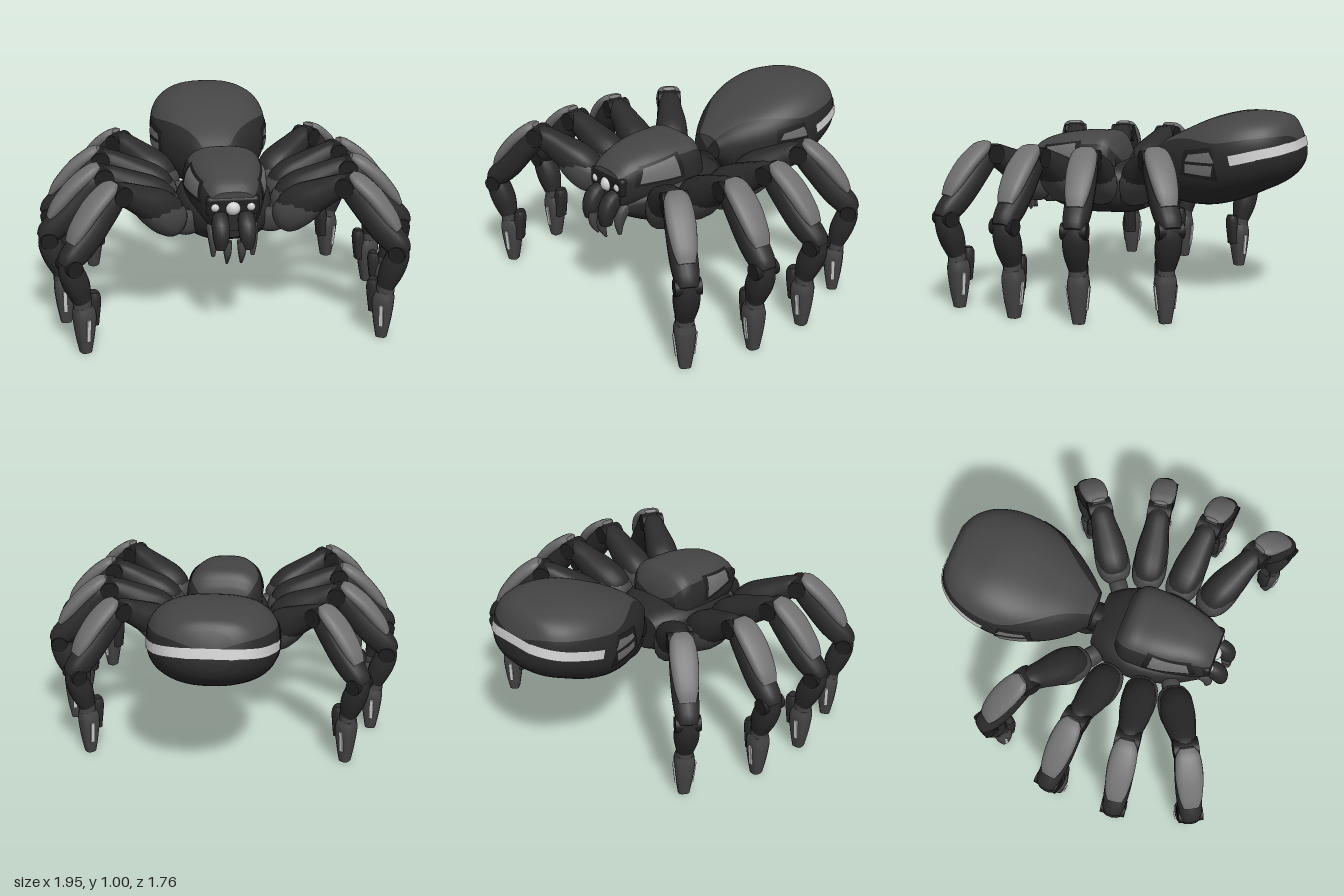
import * as THREE from 'three';
import { toCreasedNormals } from 'three/addons/utils/BufferGeometryUtils.js';
import { RoundedBoxGeometry } from 'three/addons/geometries/RoundedBoxGeometry.js';

const mat = (name, color) => {
  const m = new THREE.MeshStandardMaterial({ color, side: THREE.DoubleSide });
  m.name = name;
  return m;
};
const black = mat('black shell', 0x2a2a2a);
const dark = mat('dark joint', 0x1e1e1e);
const charcoal = mat('charcoal shell', 0x454545);
const grey = mat('grey plate', 0x707070);
const silver = mat('silver trim', 0xd0d0d0);

function add(parent, name, geometry, material, x = 0, y = 0, z = 0) {
  const m = new THREE.Mesh(geometry, material);
  m.name = name;
  m.position.set(x, y, z);
  parent.add(m);
  return m;
}

// signed power, squares off an ellipse
const sp = (v, p) => Math.sign(v) * Math.pow(Math.abs(v), p);

// skin over rings of [x, y, z]; ends are closed with fans to the given centres
function skin(rings, centres, crease = 0.7) {
  const n = rings[0].length, pos = rings.flat(2), idx = [];
  for (let i = 0; i < rings.length - 1; i++)
    for (let j = 0; j < n - 1; j++) {
      const a = i * n + j, b = a + n;
      idx.push(a, a + 1, b, a + 1, b + 1, b);
    }
  if (centres) {
    const c = rings.length * n, last = c - n;
    pos.push(...centres[0], ...centres[1]);
    for (let j = 0; j < n - 1; j++) idx.push(c, j + 1, j, c + 1, last + j, last + j + 1);
  }
  const g = new THREE.BufferGeometry();
  g.setAttribute('position', new THREE.Float32BufferAttribute(pos, 3));
  g.setIndex(idx);
  return toCreasedNormals(g, crease);
}

const interpolate = (times, rows) => {
  const it = new THREE.CubicInterpolant(times, rows.flat(), rows[0].length, []);
  return t => Array.from(it.evaluate(t));
};

// limb along a path in the xy plane, rows are [x, y, half thickness, half width]
function limb(rows, power = 0.8, sides = 16) {
  const at = interpolate(rows.map((_, i) => i), rows);
  const steps = (rows.length - 1) * 3, rings = [], ends = [];
  for (let i = 0; i <= steps; i++) {
    const t = i / 3, [x, y, ht, hw] = at(t);
    const a = at(Math.max(0, t - 0.2)), b = at(Math.min(rows.length - 1, t + 0.2));
    const l = Math.hypot(b[0] - a[0], b[1] - a[1]);
    const nx = -(b[1] - a[1]) / l, ny = (b[0] - a[0]) / l;
    rings.push(Array.from({ length: sides + 1 }, (_, j) => {
      const q = j / sides * Math.PI * 2, c = sp(Math.cos(q), power) * ht;
      return [x + nx * c, y + ny * c, sp(Math.sin(q), power) * hw];
    }));
    if (i === 0 || i === steps) ends.push([x, y, 0]);
  }
  return skin(rings, ends);
}

// body shell along z, rows are [z, top, middle, bottom, half width, lean]
function shell(rows, pUp, pLow) {
  const at = interpolate(rows.map(r => r[0]), rows.map(r => r.slice(1)));
  const zs = rows.flatMap((r, i) => i
    ? [1, 2, 3, 4].map(k => rows[i - 1][0] + (r[0] - rows[i - 1][0]) * k / 4) : [r[0]]);
  // slice of the shell between two angles in degrees, each a function of z
  const part = (from, to, count) => skin(zs.map(z => {
    const [top, mid, bot, w, lean] = at(z);
    return Array.from({ length: count + 1 }, (_, j) => {
      const q = (from(z) + (to(z) - from(z)) * j / count) * Math.PI / 180, s = Math.sin(q);
      const p = s >= 0 ? pUp : pLow;
      const h = sp(s, p) * (s >= 0 ? top - mid : mid - bot);
      return [w * sp(Math.cos(q), p), mid + h, z + h * lean];
    });
  }), [zs[0], zs[zs.length - 1]].map(z => [0, at(z)[1], z]), 0.6);
  const sideX = (z, y) => {
    const [top, mid, bot, w] = at(z), up = y >= mid, p = up ? pUp : pLow;
    const s = Math.min(1, up ? (y - mid) / (top - mid) : (mid - y) / (mid - bot));
    return w * Math.pow(Math.sqrt(Math.max(0, 1 - Math.pow(s, 2 / p))), p);
  };
  // thin painted panel on one side, corners are [z, y]
  const panel = (side, [a, b, c, d], lift) => {
    const mix = (p, q, t) => [p[0] + (q[0] - p[0]) * t, p[1] + (q[1] - p[1]) * t];
    const N = 12;
    return skin(Array.from({ length: N + 1 }, (_, i) => Array.from({ length: N + 1 }, (_, j) => {
      const [z, y] = mix(mix(a, d, i / N), mix(b, c, i / N), j / N);
      return [side * (sideX(z, y) + lift), y, z];
    })), null);
  };
  return { at, part, panel, zs };
}

function makeLeg() {
  const leg = new THREE.Group();
  add(leg, 'coxa', limb([[-0.05, 0.55, 0.06, 0.045], [0.03, 0.555, 0.065, 0.05], [0.09, 0.57, 0.05, 0.045]]), charcoal);
  add(leg, 'femurBase', limb([[0.05, 0.56, 0.04, 0.04], [0.085, 0.578, 0.082, 0.078], [0.14, 0.61, 0.096, 0.094],
    [0.22, 0.665, 0.085, 0.088], [0.30, 0.715, 0.05, 0.055]]), charcoal);
  add(leg, 'femur', limb([[0.075, 0.595, 0.04, 0.04], [0.115, 0.622, 0.082, 0.076], [0.18, 0.665, 0.094, 0.09],
    [0.25, 0.705, 0.084, 0.086], [0.33, 0.75, 0.068, 0.07], [0.40, 0.785, 0.055, 0.06], [0.44, 0.80, 0.03, 0.04]]), black);
  add(leg, 'tibia', limb([[0.43, 0.835, 0.02, 0.035], [0.452, 0.78, 0.066, 0.062], [0.53, 0.675, 0.066, 0.068],
    [0.62, 0.575, 0.068, 0.068], [0.69, 0.51, 0.06, 0.06], [0.72, 0.475, 0.042, 0.048]]), black);
  add(leg, 'tibiaPlate', limb([[0.437, 0.848, 0.01, 0.036], [0.475, 0.82, 0.03, 0.064], [0.565, 0.745, 0.034, 0.072],
    [0.65, 0.645, 0.03, 0.06], [0.69, 0.59, 0.014, 0.042]], 0.75), grey);
  // hinge discs at the knee and elbow
  for (const [n, x, y, r, w] of [['kneeHinge', 0.42, 0.785, 0.05, 0.13], ['elbowHinge', 0.70, 0.475, 0.042, 0.13]])
    add(leg, n, new THREE.CylinderGeometry(r, r, w, 18).rotateX(Math.PI / 2), dark, x, y);
  add(leg, 'metatarsus', limb([[0.70, 0.50, 0.045, 0.045], [0.69, 0.44, 0.06, 0.062],
    [0.663, 0.36, 0.062, 0.062], [0.64, 0.28, 0.045, 0.046]]), black);
  add(leg, 'ankle', new THREE.CylinderGeometry(0.046, 0.046, 0.05, 14), charcoal, 0.638, 0.265);
  add(leg, 'foot', limb([[0.635, 0.25, 0.045, 0.045], [0.63, 0.2, 0.054, 0.054],
    [0.63, 0.1, 0.045, 0.045], [0.63, 0, 0.028, 0.03]], 0.65), charcoal);
  add(leg, 'heel', limb([[0.572, 0.31, 0.02, 0.028], [0.572, 0.27, 0.03, 0.035], [0.585, 0.14, 0.026, 0.034]], 0.65), black);
  for (const s of [-1, 1]) {
    const strip = add(leg, 'footStrip', new THREE.BoxGeometry(0.02, 0.12, 0.008), silver, 0.635, 0.13, s * 0.051);
    strip.rotation.x = s * 0.11;
  }
  return leg;
}

export function createModel() {
  const model = new THREE.Group();
  model.name = 'spider';
  const deg = d => () => d;

  // abdomen
  const abdomen = shell([[-0.855, 0.94, 0.84, 0.755, 0.125, 0.26], [-0.835, 0.97, 0.835, 0.715, 0.18, 0.23], [-0.78, 0.99, 0.82, 0.65, 0.25, 0.14],
    [-0.68, 1.0, 0.8, 0.59, 0.308, 0.05], [-0.55, 1.0, 0.77, 0.53, 0.335, 0], [-0.40, 0.965, 0.745, 0.495, 0.322, 0],
    [-0.25, 0.90, 0.715, 0.50, 0.265, 0], [-0.12, 0.83, 0.69, 0.54, 0.175, 0], [-0.04, 0.765, 0.69, 0.64, 0.10, 0]], 0.75, 0.85);
  // the rim is deeper towards the waist
  const rim = z => 18 + 42 * THREE.MathUtils.smoothstep(z, -0.5, -0.1);
  add(model, 'abdomenTop', abdomen.part(rim, z => 180 - rim(z), 24), charcoal);
  add(model, 'abdomenRim', abdomen.part(deg(0), rim, 6), black);
  add(model, 'abdomenRim', abdomen.part(z => 180 - rim(z), deg(180), 6), black);
  add(model, 'abdomenBelly', abdomen.part(deg(180), deg(360), 28), black);
  // stripe running round the rear from side to side
  const along = abdomen.zs.filter(z => z <= -0.549).reverse();
  const path = s => along.map(z => [s * (abdomen.at(z)[3] + 0.002), abdomen.at(z)[1], z - 0.005]);
  const stripe = [...path(1), ...path(-1).reverse()];
  add(model, 'abdomenStripe', skin(stripe.map(([x, y, z]) => [-0.025, 0.025].map(h => [x, y + h, z + h * 0.25])), null), silver);
  for (const s of [-1, 1]) {
    add(model, 'sideVent', abdomen.panel(s, [[-0.28, 0.68], [-0.30, 0.81], [-0.46, 0.835], [-0.50, 0.66]], 0.005), dark);
    add(model, 'ventPlate', abdomen.panel(s, [[-0.31, 0.755], [-0.33, 0.79], [-0.45, 0.81], [-0.48, 0.755]], 0.009), grey);
    add(model, 'ventPlate', abdomen.panel(s, [[-0.31, 0.695], [-0.31, 0.74], [-0.47, 0.74], [-0.46, 0.685]], 0.009), grey);
  }

  // waist
  const neck = add(model, 'waist', limb([[-0.22, 0.62, 0.08, 0.1], [-0.08, 0.60, 0.075, 0.075], [0.06, 0.58, 0.09, 0.09]]), dark);
  neck.rotation.y = -Math.PI / 2;
  for (const [r, w] of [[0.085, 0.12], [0.06, 0.15]])
    add(model, 'waistHinge', new THREE.CylinderGeometry(r, r, w, 24).rotateZ(Math.PI / 2), black, 0, 0.515, -0.1);

  // thorax and head
  const thorax = shell([[-0.01, 0.66, 0.58, 0.45, 0.15, 0], [0.06, 0.69, 0.58, 0.425, 0.2, 0], [0.2, 0.71, 0.58, 0.42, 0.25, 0],
    [0.35, 0.70, 0.58, 0.42, 0.24, 0], [0.48, 0.67, 0.57, 0.45, 0.2, 0], [0.61, 0.63, 0.57, 0.51, 0.13, 0]], 0.7, 0.8);
  add(model, 'thorax', thorax.part(deg(0), deg(360), 40), black);
  const head = shell([[0.13, 0.78, 0.68, 0.62, 0.155, 0], [0.17, 0.85, 0.68, 0.6, 0.198, 0], [0.27, 0.866, 0.68, 0.59, 0.212, 0],
    [0.40, 0.86, 0.68, 0.57, 0.2, 0], [0.52, 0.838, 0.67, 0.56, 0.17, 0], [0.61, 0.80, 0.66, 0.55, 0.142, 0],
    [0.65, 0.765, 0.66, 0.56, 0.12, 0]], 0.68, 0.8);
  add(model, 'headTop', head.part(deg(35), deg(145), 22), charcoal);
  add(model, 'headSides', head.part(deg(145), deg(395), 32), black);
  for (const s of [-1, 1]) {
    add(model, 'headWindowFrame', head.panel(s, [[0.30, 0.69], [0.32, 0.825], [0.55, 0.79], [0.59, 0.69]], 0.004), dark);
    add(model, 'headWindow', head.panel(s, [[0.33, 0.705], [0.35, 0.812], [0.53, 0.78], [0.56, 0.705]], 0.008), grey);
  }

  // face
  add(model, 'eyeBand', new RoundedBoxGeometry(0.27, 0.1, 0.06, 3, 0.02), dark, 0, 0.69, 0.625);
  for (const [x, y, r] of [[0, 0.68, 0.04], [-0.09, 0.687, 0.026], [0.09, 0.687, 0.026]])
    add(model, 'eye', new THREE.SphereGeometry(r, 20, 14), silver, x, y, 0.64);
  for (const s of [-1, 1]) {
    const jaw = add(model, 'jaw', limb([[0.60, 0.63, 0.04, 0.035], [0.67, 0.61, 0.05, 0.045], [0.705, 0.55, 0.045, 0.042], [0.71, 0.49, 0.03, 0.028]]), black, s * 0.066);
    const fang = add(model, 'fang', limb([[0.71, 0.53, 0.028, 0.024], [0.715, 0.47, 0.024, 0.019], [0.69, 0.405, 0.006, 0.006]]), charcoal, s * 0.036);
    const palp = add(model, 'palp', limb([[0.56, 0.57, 0.03, 0.03], [0.62, 0.56, 0.035, 0.03], [0.65, 0.50, 0.028, 0.022], [0.65, 0.43, 0.01, 0.01]]), charcoal, s * 0.1);
    for (const m of [jaw, fang, palp]) m.rotation.y = -Math.PI / 2;
  }

  // legs: hip z, direction x and z, reach
  const legs = [['frontLeg', 0.47, 0.88, 0.48, 1], ['secondLeg', 0.33, 0.99, 0.12, 1.04],
    ['thirdLeg', 0.17, 0.985, -0.17, 1.04], ['rearLeg', 0.03, 0.80, -0.60, 0.98]];
  for (const [name, z, dx, dz, reach] of legs)
    for (const s of [-1, 1]) {
      const leg = makeLeg();
      leg.name = name + (s > 0 ? 'Left' : 'Right');
      leg.position.set(s * 0.2, 0, z);
      leg.rotation.y = Math.atan2(-dz, s * dx);
      leg.scale.x = reach;
      model.add(leg);
    }
  return model;
}
